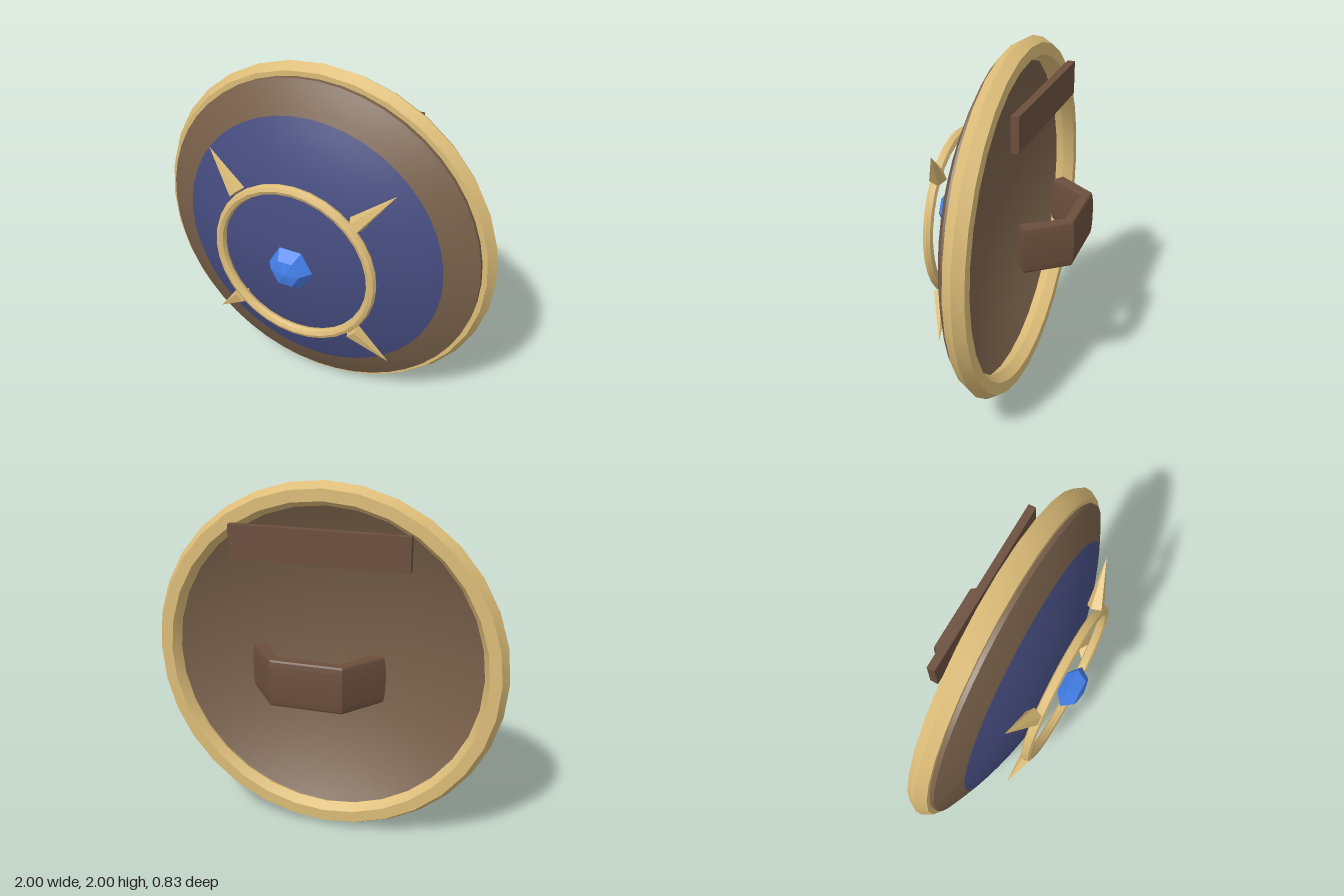
import * as THREE from 'three';
import { toCreasedNormals } from 'three/addons/utils/BufferGeometryUtils.js';

const mat = (color, flatShading = false) => new THREE.MeshStandardMaterial({ color, flatShading });

export function createModel() {
  const model = new THREE.Group();
  model.name = 'roundShield';
  const gold = mat(0xdcbc78);
  const brown = mat(0x78604a);
  const blue = mat(0x464c80);
  const wood = mat(0x6b4f3d, true);
  const gemBlue = mat(0x4480ea, true);

  const add = (name, geometry, material, x = 0, y = 0, z = 0) => {
    const mesh = new THREE.Mesh(geometry, material);
    mesh.name = name;
    mesh.position.set(x, y + 1, z);
    model.add(mesh);
    return mesh;
  };

  // Lathe whose axis is turned to face +z; points are [radius, z]
  const lathe = (points, segments = 48) => new THREE.LatheGeometry(
    points.map(([r, z]) => new THREE.Vector2(r, z)), segments).rotateX(Math.PI / 2);

  // Dome: a shallow spherical shell
  const R = 1.977, front = 0.26, back = 0.233, edge = 0.938;
  const height = (r, apex) => apex - R + Math.sqrt(R * R - r * r);
  const arc = (r0, r1, apex, n) => Array.from({ length: n + 1 }, (_, i) => {
    const r = r0 + (r1 - r0) * i / n;
    return [r, height(r, apex)];
  });
  add('domeCentre', lathe(arc(0.767, 0, front, 12)), blue);
  add('domeBorder', lathe(arc(edge, 0.767, front, 4)), brown);
  add('domeBack', lathe(arc(0, edge, back, 14)), brown);
  add('domeEdge', lathe([[edge, height(edge, back)], [edge, height(edge, front)]]), brown);

  // Faceted rings, smooth around their length
  const ring = (radius, tube, sides) =>
    toCreasedNormals(new THREE.TorusGeometry(radius, tube, sides, 32), 0.5);
  add('rim', ring(0.935, 0.065, 6), gold, 0, 0, -0.056);
  add('frontRing', ring(0.45, 0.028, 8), gold, 0, 0, 0.298);

  // Four spikes pointing outwards and slightly back
  const spike = toCreasedNormals(new THREE.ConeGeometry(0.048, 0.28, 5), 0.5);
  spike.translate(0, 0.14, 0);
  for (let i = 0; i < 4; i++) {
    const a = Math.PI / 4 + i * Math.PI / 2;
    const base = new THREE.Vector3(Math.cos(a) * 0.482, Math.sin(a) * 0.482, 0.277);
    const tip = new THREE.Vector3(Math.cos(a) * 0.757, Math.sin(a) * 0.757, 0.222);
    const up = tip.sub(base).normalize();
    const side = new THREE.Vector3(-Math.sin(a), Math.cos(a), 0);
    const out = new THREE.Vector3().crossVectors(side, up);
    const mesh = add('spike', spike, gold, base.x, base.y, base.z);
    mesh.quaternion.setFromRotationMatrix(new THREE.Matrix4().makeBasis(side, up, out));
  }

  // Six-sided cut gem, tapering into the dome
  const gem = lathe([[0, 0.25], [0.04, 0.262], [0.128, 0.333], [0.082, 0.396], [0, 0.412]], 6);
  gem.rotateZ(Math.PI / 2);
  add('gem', gem, gemBlue);

  // Arm plate on the back
  add('armPlate', new THREE.BoxGeometry(0.975, 0.185, 0.042), wood, 0, 0.682, -0.19);

  // Bent grip, extruded vertically and swelling at mid-height
  const half = [[0.355, 0.198], [0.193, 0.407], [0.172, 0.358], [0.303, 0.162]];
  const [a, b, c, d] = half;
  const mirror = ([x, y]) => [-x, y];
  const outline = [a, b, mirror(b), mirror(a), mirror(d), mirror(c), c, d]
    .map(p => new THREE.Vector2(...p));
  const grip = new THREE.ExtrudeGeometry(new THREE.Shape(outline),
    { depth: 0.015, bevelThickness: 0.12, bevelSize: 0.012, bevelSegments: 4 });
  grip.translate(0, 0, -0.0075).rotateX(-Math.PI / 2);
  add('grip', grip, wood);

  return model;
}
